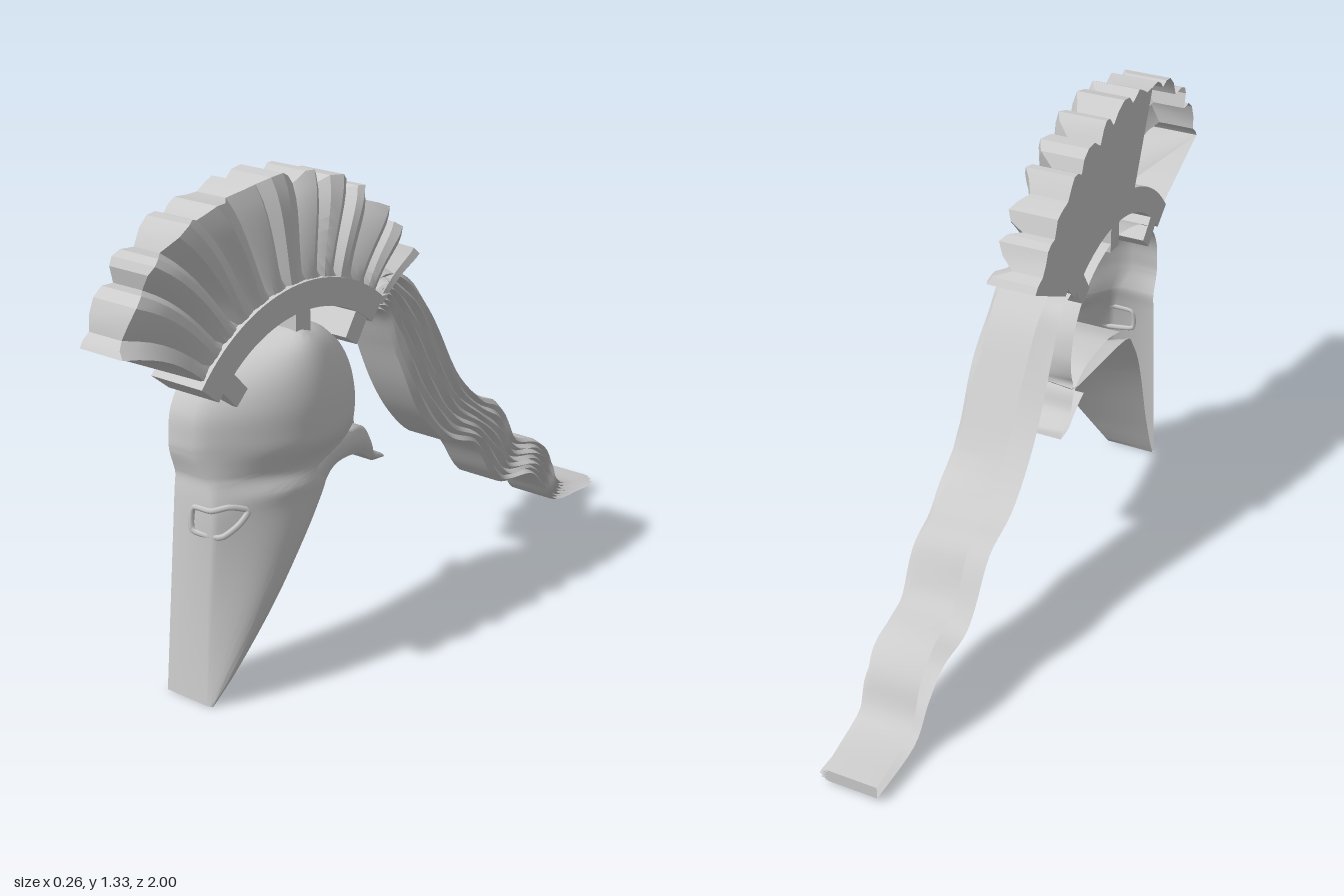
import * as THREE from 'three';
import { toCreasedNormals } from 'three/addons/utils/BufferGeometryUtils.js';

const BACK = -0.13; // mid plane where the half relief is cut off
const CZ = 0.4, CY = 0.56; // centre of the crest arcs
const rad = THREE.MathUtils.degToRad;

// Catmull-Rom blend through rows of numbers, t in 0..1
function blend(rows, t) {
  const n = rows.length - 1, f = Math.min(t, 1) * n, i = Math.min(Math.floor(f), n - 1), k = f - i;
  const at = (j) => rows[Math.max(0, Math.min(n, j))];
  return rows[0].map((_, c) => {
    const [p, a, b, q] = [at(i - 1)[c], at(i)[c], at(i + 1)[c], at(i + 2)[c]];
    const v0 = (b - p) / 2, v1 = (q - a) / 2;
    return (2 * a - 2 * b + v0 + v1) * k ** 3 + (-3 * a + 3 * b - 2 * v0 - v1) * k * k + v0 * k + a;
  });
}

// Relief shell: n + 1 cross-sections of m + 1 points plus two corners on the mid plane.
// The mid plane is closed from backFrom on, the second side wall from wallFrom on.
function relief(n, m, point, { crease = 40, backFrom = 0, wallFrom = 0 } = {}) {
  const pos = [], idx = [], w = m + 3;
  for (let i = 0; i <= n; i++) {
    const ring = [];
    for (let j = 0; j <= m; j++) ring.push(point(i / n, j / m, i, j));
    for (const [, y, z, cornerZ = z] of [ring[m], ring[0]]) ring.push([BACK, y, cornerZ]);
    ring.forEach(([x, y, z]) => pos.push(x, y, z));
  }
  for (let i = 0; i < n; i++) {
    for (let j = 0; j < w; j++) {
      if ((j === m + 1 && i / n < backFrom) || (j === m && i / n < wallFrom)) continue;
      const a = i * w + j, b = i * w + (j + 1) % w;
      idx.push(a, b, b + w, a, b + w, a + w);
    }
  }
  const e = n * w;
  for (let j = 0; j < w - 2; j++) {
    if (wallFrom === 0) idx.push(w - 1, j + 1, j);
    idx.push(e + w - 1, e + j, e + j + 1);
  }
  const g = new THREE.BufferGeometry();
  g.setAttribute('position', new THREE.Float32BufferAttribute(pos, 3));
  g.setIndex(idx);
  return toCreasedNormals(g, rad(crease));
}

// Relief over rungs [z0, y0, z1, y1, edge x at 0, edge x at 1, bulge, inset of the second wall]
function rungRelief(rows, n, m, options, power = 1, ripple = () => 0) {
  return relief(n, m, (t, s, i, j) => {
    const [z0, y0, z1, y1, e0, e1, bulge, inset] = blend(rows, t);
    const x = e0 + (e1 - e0) * s + bulge * Math.max(0, Math.sin(Math.PI * s)) ** power + ripple(t, j);
    const z = z0 + (z1 - z0) * s;
    return [x, y0 + (y1 - y0) * s, z, z + (z0 - z1) * inset * s];
  }, options);
}

export function createModel() {
  const group = new THREE.Group();
  const mat = new THREE.MeshStandardMaterial({ color: 0xcccccc, side: THREE.DoubleSide });
  const add = (name, geo) => {
    const mesh = new THREE.Mesh(geo, mat);
    mesh.name = name;
    group.add(mesh);
    return mesh;
  };

  // Face guard with dished inner wall and hollow dome, from the chin tip to the crown
  add('helmetShell', rungRelief([
    [0.77, 0, 0.762, 0, 0.01, 0.025, 0.005, 0],
    [0.76, 0.1, 0.70, 0.1, 0.005, 0.06, 0.018, 0.3],
    [0.745, 0.25, 0.59, 0.25, 0, 0.088, 0.035, 0.5],
    [0.73, 0.4, 0.485, 0.4, 0, 0.102, 0.038, 0.55],
    [0.72, 0.5, 0.41, 0.5, 0, 0.1, 0.042, 0.5],
    [0.715, 0.55, 0.36, 0.55, -0.01, 0.085, 0.06, 0.4],
    [0.71, 0.59, 0.17, 0.575, -0.02, 0, 0.11, 0],
    [0.715, 0.615, 0.135, 0.605, -0.03, -0.03, 0.138, 0],
    [0.728, 0.66, 0.12, 0.65, -0.05, -0.05, 0.178, 0],
    [0.728, 0.7, 0.12, 0.7, -0.05, -0.05, 0.18, 0],
    [0.718, 0.77, 0.14, 0.77, -0.05, -0.05, 0.175, 0],
    [0.67, 0.84, 0.19, 0.84, -0.05, -0.05, 0.158, 0],
    [0.58, 0.895, 0.27, 0.895, -0.05, -0.05, 0.13, 0],
    [0.47, 0.925, 0.36, 0.925, -0.06, -0.06, 0.1, 0],
    [0.42, 0.93, 0.40, 0.93, -0.07, -0.07, 0.07, 0],
  ], 56, 24, { crease: 60, backFrom: 2 }, 0.8));

  // Flared neck guard, hollow where it runs into the face guard
  add('neckGuard', rungRelief([
    [0.46, 0.60, 0.43, 0.48, 0.085, 0.1, 0.01, 0],
    [0.38, 0.62, 0.37, 0.545, 0.09, 0.095, 0.01, 0],
    [0.30, 0.62, 0.30, 0.555, 0.08, 0.085, 0.01, 0],
    [0.21, 0.61, 0.21, 0.53, 0.055, 0.06, 0.015, 0],
    [0.145, 0.57, 0.14, 0.49, 0.03, 0.035, 0.015, 0],
    [0.12, 0.51, 0.11, 0.468, 0.02, 0.02, 0.015, 0],
    [0.065, 0.475, 0.06, 0.46, 0.015, 0.015, 0.01, 0],
  ], 24, 8, { crease: 60, backFrom: 2, wallFrom: 0.5 }));

  // Rim around the eye opening
  const eye = [[-0.06, 0.46, 0.727], [-0.06, 0.52, 0.721], [0.0, 0.525, 0.719], [0.035, 0.535, 0.69],
    [0.062, 0.52, 0.65], [0.05, 0.485, 0.675], [0.02, 0.455, 0.71]];
  const eyePath = new THREE.CatmullRomCurve3(eye.map((p) => new THREE.Vector3(...p)), true, 'catmullrom', 0.3);
  add('eyeRim', new THREE.TubeGeometry(eyePath, 36, 0.008, 6, true));

  // Crest holder: curved band with three radial struts
  add('crestBand', relief(28, 1, (t, s) => {
    const a = rad(50.5 - 91 * t), r = 0.49 - 0.075 * s;
    return [0.04, CY + r * Math.cos(a), CZ + r * Math.sin(a)];
  }));
  for (const angle of [43, 0, -34]) {
    const a = rad(angle), r = 0.385;
    const strut = add('crestStrut', new THREE.BoxGeometry(0.165, 0.09, 0.055));
    strut.position.set(-0.0475, CY + r * Math.cos(a), CZ + r * Math.sin(a));
    strut.rotation.x = a;
  }

  // Fan of curling plumes: four sections per plume give the pleats and notched rim
  const reach = [0.75, 0.80, 0.805, 0.782, 0.775, 0.757, 0.735, 0.70, 0.675].map((r) => [r]);
  const notch = [0, 0.012, 0.032, 0.008], groove = [0, 0.015, 0.045, 0.012];
  const sections = 12 * 4;
  add('crestPlumes', relief(sections, 8, (t, s, i) => {
    const k = 1 - s, f = i % 4, fade = Math.min(1, i / 4, (sections - i) / 4);
    const R = blend(reach, t)[0] - fade * notch[f] * (1 + 0.4 * Math.sin(i * 1.3));
    const r = 0.475 + (R - 0.475) * k;
    const a = rad((47.5 - 90.5 * t) * (1 + 0.13 * k * k) + 0.8 * k * Math.sin(i * 0.9));
    const x = 0.032 - groove[f] * (1 + 0.3 * Math.sin(i * 2.1)) * Math.sqrt(k) - 0.02 * k ** 6;
    return [x, CY + r * Math.cos(a), CZ + r * Math.sin(a)];
  }, { crease: 25, backFrom: 0.35 }));

  // Long wavy tail with strand grooves
  const tail = [
    [0.15, 0.95, 0.12, 0.90], [0.05, 0.99, 0.05, 0.87], [-0.02, 0.97, 0.0, 0.77],
    [-0.11, 0.90, -0.07, 0.62], [-0.20, 0.76, -0.15, 0.50], [-0.30, 0.60, -0.25, 0.405],
    [-0.40, 0.50, -0.38, 0.35], [-0.50, 0.45, -0.47, 0.23], [-0.58, 0.32, -0.53, 0.185],
    [-0.70, 0.27, -0.65, 0.17], [-0.77, 0.20, -0.73, 0.11], [-0.83, 0.09, -0.81, 0.03],
    [-1.0, 0.05, -1.0, 0.015],
  ].map((r) => [...r, 0.018, 0.018, 0.01, 0]);
  add('crestTail', rungRelief(tail, 60, 14, { crease: 25, backFrom: 2 }, 1,
    (t, j) => (j % 2 ? 0.004 : -0.012) + 0.004 * Math.sin(t * 40 + j * 1.7)));

  return group;
}
